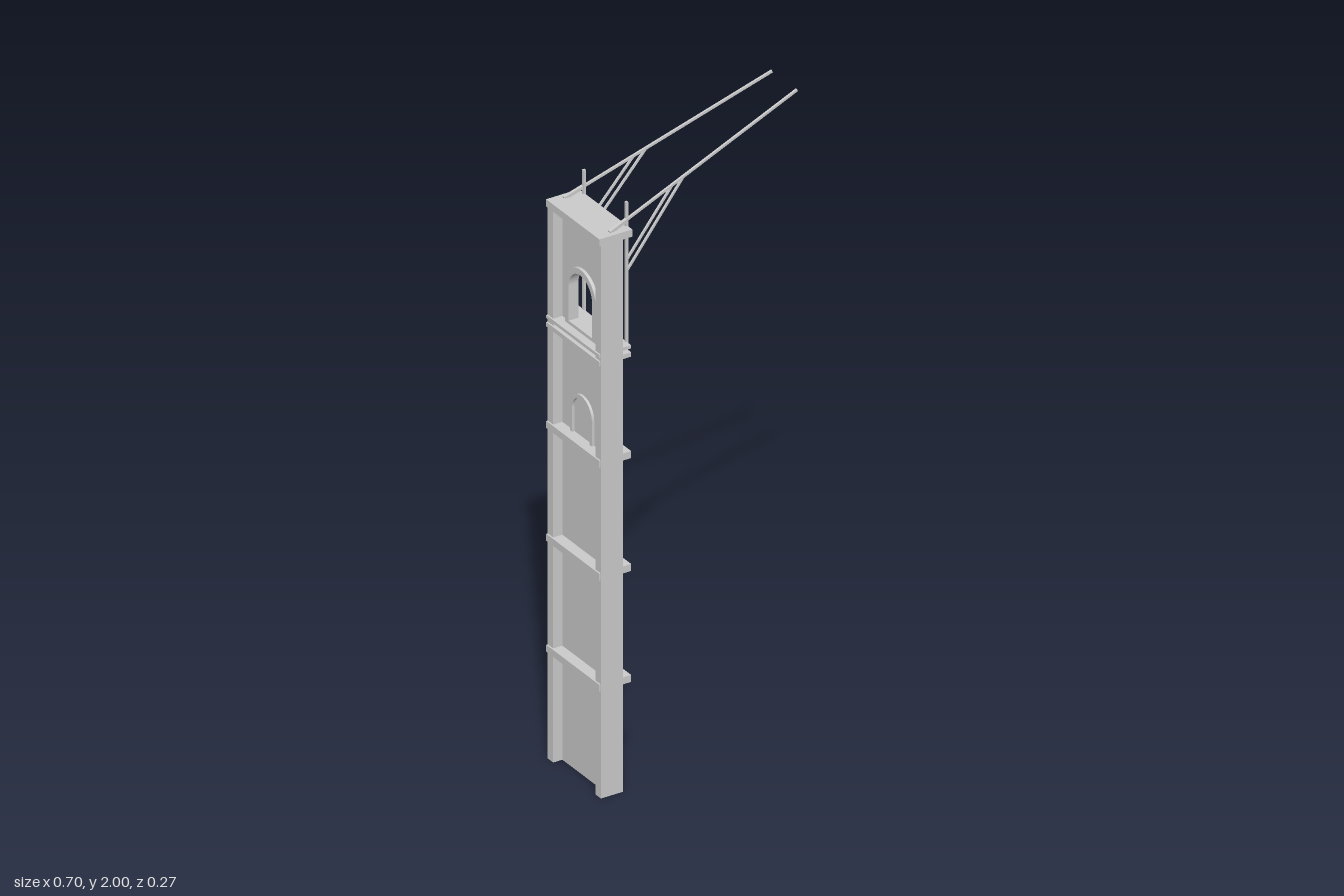
import * as THREE from 'three';

const mat = new THREE.MeshStandardMaterial({ color: 0xcccccc, flatShading: true });

// Arched outline (straight jambs, half-round head) traced on a shape or path
function arch(target, r, bottom, spring) {
  target.moveTo(-r, bottom);
  target.lineTo(r, bottom);
  target.lineTo(r, spring);
  target.absarc(0, spring, r, 0, Math.PI, false);
  target.lineTo(-r, bottom);
  return target;
}

function rect(hw, y0, y1) {
  return new THREE.Shape([[-hw, y0], [hw, y0], [hw, y1], [-hw, y1]].map(p => new THREE.Vector2(...p)));
}

export function createModel() {
  const model = new THREE.Group();

  const add = (name, geo) => {
    const mesh = new THREE.Mesh(geo, mat);
    mesh.name = name;
    model.add(mesh);
    return mesh;
  };
  // Box given by its limits
  const box = (name, x0, x1, y0, y1, z0, z1) =>
    add(name, new THREE.BoxGeometry(x1 - x0, y1 - y0, z1 - z0))
      .position.set((x0 + x1) / 2, (y0 + y1) / 2, (z0 + z1) / 2);
  // Outline in the z-y plane, extruded from x0 to x1
  const slab = (name, shape, x0, x1) => {
    const geo = new THREE.ExtrudeGeometry(shape, { depth: x1 - x0, bevelEnabled: false, curveSegments: 16 });
    geo.rotateY(Math.PI / 2).translate(x0, 0, 0);
    add(name, geo);
  };
  // Square bar between two points
  const bar = (name, a, b, size) => {
    const from = new THREE.Vector3(...a), to = new THREE.Vector3(...b);
    const mesh = add(name, new THREE.BoxGeometry(size, size, from.distanceTo(to)));
    mesh.position.copy(from).add(to).multiplyScalar(0.5);
    mesh.lookAt(to);
  };

  // Corner pilasters
  for (const s of [-1, 1]) {
    const z = [s * 0.108, s * 0.137].sort((a, b) => a - b);
    box('pilaster', -0.346, -0.274, 0, 1.75, z[0], z[1]);
  }

  // Recessed wall with the open belfry window
  const wall = rect(0.109, 0, 1.75);
  wall.holes.push(arch(new THREE.Path(), 0.06, 1.41, 1.52));
  slab('wallPanel', wall, -0.316, -0.304);

  // Surround of the belfry window
  const surround = arch(new THREE.Shape(), 0.078, 1.4, 1.52);
  surround.holes.push(arch(new THREE.Path(), 0.06, 1.41, 1.52));
  slab('windowSurround', surround, -0.326, -0.294);

  // Blind window: raised rim around a flat arched field
  const rim = arch(new THREE.Shape(), 0.056, 1.06, 1.144);
  rim.holes.push(arch(new THREE.Path(), 0.045, 1.065, 1.144));
  slab('blindWindowRim', rim, -0.324, -0.296);

  // Large relieving arch between the pilasters on the outer side
  const spandrel = rect(0.109, 1.4, 1.692);
  spandrel.holes.push(arch(new THREE.Path(), 0.104, 1.401, 1.58));
  slab('archSpandrel', spandrel, -0.304, -0.28);
  box('lintel', -0.304, -0.277, 1.692, 1.745, -0.109, 0.109);

  // Floor bands and cap
  for (const [y0, y1] of [[0.338, 0.36], [0.688, 0.71], [1.044, 1.066], [1.364, 1.378], [1.39, 1.4]])
    box('floorBand', -0.351, -0.246, y0, y1, -0.136, 0.136);
  box('cap', -0.351, -0.243, 1.742, 1.765, -0.137, 0.137);

  // Posts, raking arms and paired braces on both sides
  for (const s of [-1, 1]) {
    box('post', -0.249, -0.241, 1.39, 1.84, s * 0.109 - 0.004, s * 0.109 + 0.004);
    const start = new THREE.Vector3(-0.305, 1.764, s * 0.117);
    const end = new THREE.Vector3(0.343, 1.998, s * 0.064);
    const onArm = t => start.clone().lerp(end, t).toArray();
    bar('arm', onArm(0), onArm(1), 0.007);
    bar('armFoot', onArm(0), onArm(0.092), 0.01);
    bar('lowerBrace', [-0.245, 1.62, s * 0.109], onArm(0.395), 0.006);
    bar('upperBrace', [-0.245, 1.655, s * 0.109], onArm(0.335), 0.006);
  }

  return model;
}
